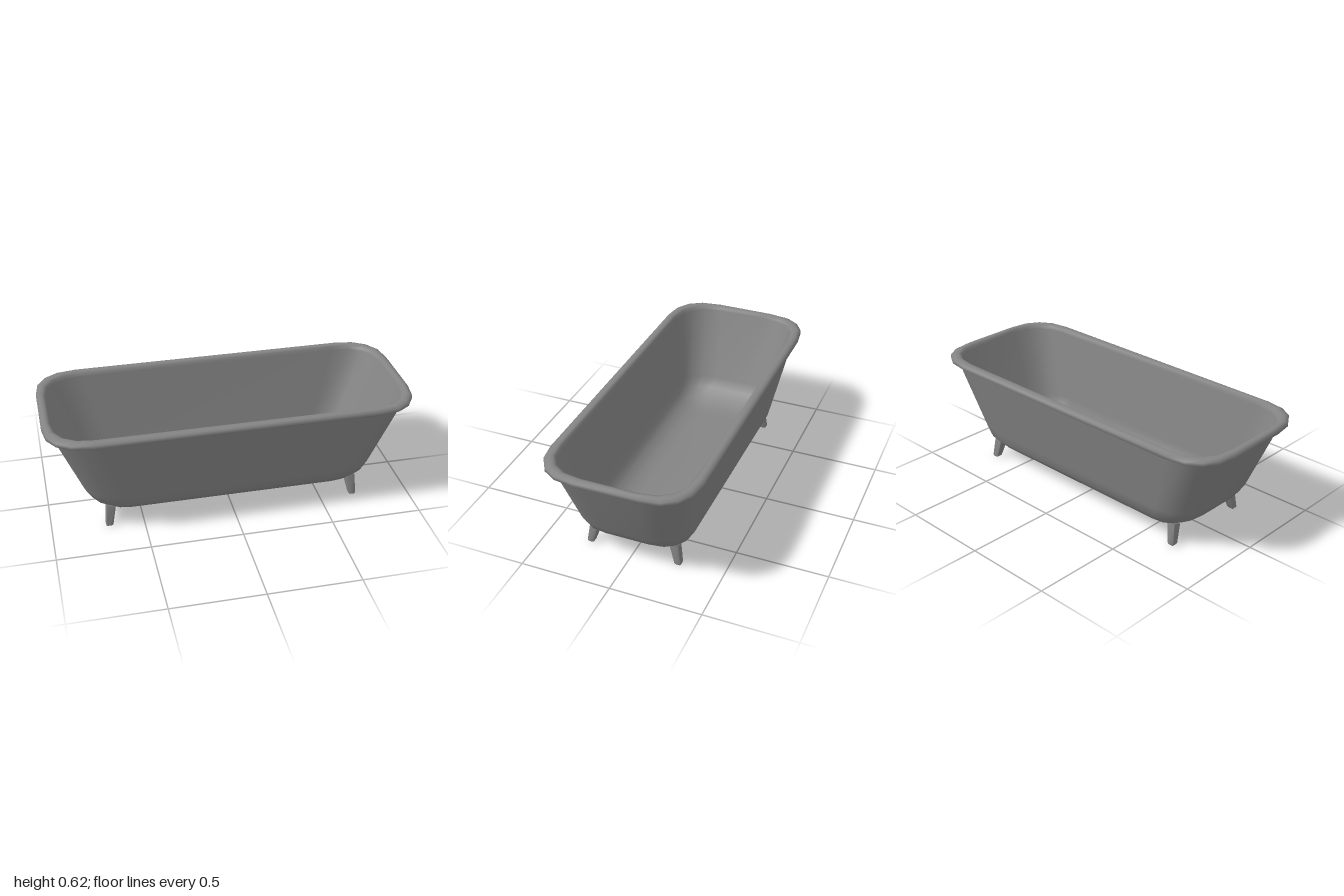
import * as THREE from 'three';
import { toCreasedNormals } from 'three/addons/utils/BufferGeometryUtils.js';

const enamel = new THREE.MeshStandardMaterial({ color: 0x848484 });
const CORNER_STEPS = 4;

// Rounded rectangle ring with slightly squared corners: half length, half width, height, corner radius
function ring([hx, hz, y, r]) {
  const points = [];
  const bulge = (v) => Math.sign(v) * Math.abs(v) ** 0.85;
  const corners = [[1, 1], [-1, 1], [-1, -1], [1, -1]];
  corners.forEach(([sx, sz], quarter) => {
    for (let i = 0; i <= CORNER_STEPS; i++) {
      const a = (quarter + i / CORNER_STEPS) * Math.PI / 2;
      points.push(sx * (hx - r) + bulge(Math.cos(a)) * r, y, sz * (hz - r) + bulge(Math.sin(a)) * r);
    }
  });
  return points;
}

// Skin through a list of rings, outward when the list rises
function loft(sections) {
  const n = 4 * (CORNER_STEPS + 1);
  const index = [];
  for (let s = 0; s < sections.length - 1; s++) {
    for (let j = 0; j < n; j++) {
      const a = s * n + j, b = s * n + (j + 1) % n;
      index.push(a, a + n, b, b, a + n, b + n);
    }
  }
  const geometry = new THREE.BufferGeometry();
  geometry.setAttribute('position', new THREE.Float32BufferAttribute(sections.flatMap(ring), 3));
  geometry.setIndex(index);
  geometry.computeVertexNormals();
  return geometry;
}

function add(group, name, geometry) {
  const mesh = new THREE.Mesh(geometry, enamel);
  mesh.name = name;
  group.add(mesh);
  return mesh;
}

// Tapered square foot leaning out towards its corner, its top tilted against the hull
function footGeometry(sx, sz) {
  const height = 0.108;
  const geometry = loft([
    [0, 0, 0, 0],
    [0.015, 0.015, 0, 0.006],
    [0.02, 0.019, 0.006, 0.008],
    [0.026, 0.0245, height, 0.009],
    [0, 0, height, 0],
  ]);
  const p = geometry.attributes.position;
  for (let i = 0; i < p.count; i++) {
    const x = p.getX(i), y = p.getY(i), z = p.getZ(i), t = y / height;
    const tilt = 0.35 * t * (x * sx + z * sz);
    p.setXYZ(i, x + sx * (0.69 - 0.015 * t), y + tilt, z + sz * (0.251 - 0.0245 * t));
  }
  return toCreasedNormals(geometry, 0.6);
}

export function createModel() {
  const tub = new THREE.Group();
  tub.name = 'bathtub';

  // Outer shell, from the underside up to the rim
  add(tub, 'outerShell', loft([
    [0, 0, 0.065, 0],
    [0.57, 0.135, 0.065, 0.08],
    [0.64, 0.205, 0.076, 0.12],
    [0.71, 0.265, 0.105, 0.15],
    [0.775, 0.3, 0.15, 0.18],
    [0.815, 0.312, 0.21, 0.2],
    [0.965, 0.385, 0.59, 0.23],
  ]));

  // Inner basin, from the rim down to the floor
  add(tub, 'innerBasin', loft([
    [0.95, 0.36, 0.6, 0.22],
    [0.797, 0.292, 0.215, 0.18],
    [0.757, 0.28, 0.16, 0.15],
    [0.695, 0.248, 0.12, 0.11],
    [0.63, 0.195, 0.093, 0.08],
    [0.56, 0.13, 0.084, 0.06],
    [0, 0, 0.083, 0],
  ]));

  // Rolled rim
  add(tub, 'rim', loft([
    [0.948, 0.358, 0.588, 0.22],
    [0.97, 0.386, 0.578, 0.23],
    [0.985, 0.4, 0.583, 0.235],
    [1, 0.412, 0.592, 0.24],
    [1, 0.412, 0.612, 0.24],
    [0.985, 0.395, 0.621, 0.235],
    [0.968, 0.374, 0.622, 0.225],
    [0.952, 0.362, 0.613, 0.22],
    [0.948, 0.358, 0.588, 0.22],
  ]));

  // Drain plate with a raised edge
  const drain = [[0.041, 0], [0.039, 0.004], [0.034, 0.004], [0.032, 0.002], [0, 0.002]]
    .map(([x, y]) => new THREE.Vector2(x, y));
  add(tub, 'drain', toCreasedNormals(new THREE.LatheGeometry(drain, 20), 0.6))
    .position.set(0.455, 0.084, 0);

  // Four feet
  for (const sx of [-1, 1]) {
    for (const sz of [-1, 1]) {
      add(tub, `${sz > 0 ? 'front' : 'back'}${sx > 0 ? 'Left' : 'Right'}Foot`, footGeometry(sx, sz));
    }
  }
  return tub;
}
